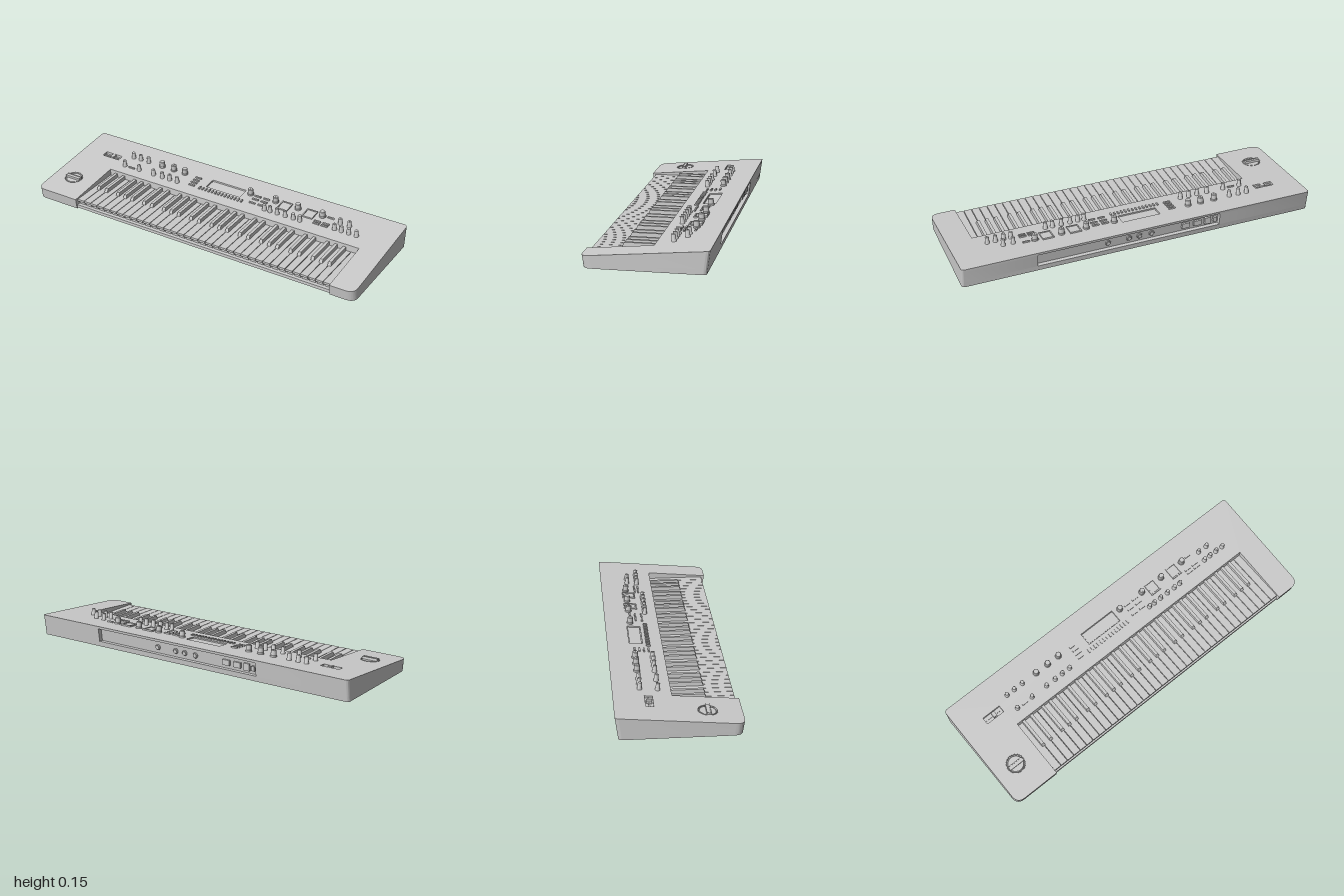
import * as THREE from 'three';
import { toCreasedNormals } from 'three/addons/utils/BufferGeometryUtils.js';

const material = new THREE.MeshStandardMaterial({ color: 0xcccccc });
const SLOPE = 0.0906;
const topY = (z) => 0.062 + (0.32 - z) * SLOPE; // sloping control surface
const KEY_L = -0.735, KEY_R = 0.86, KEY_BACK = -0.02;

function add(parent, name, geometry, x = 0, y = 0, z = 0) {
  const mesh = new THREE.Mesh(geometry, material);
  mesh.name = name;
  mesh.position.set(x, y, z);
  parent.add(mesh);
  return mesh;
}
const box = (w, h, d) => new THREE.BoxGeometry(w, h, d);

// Plan outline of the case, open at the front for the keys (shape y = -z)
function outline(rearRecess) {
  const s = new THREE.Shape();
  s.moveTo(-0.95, -0.32);
  s.lineTo(KEY_L, -0.32);
  s.lineTo(KEY_L, -KEY_BACK);
  s.lineTo(KEY_R, -KEY_BACK);
  s.lineTo(KEY_R, -0.32);
  s.lineTo(0.95, -0.32);
  s.quadraticCurveTo(1, -0.32, 1, -0.27);
  s.lineTo(1, 0.3);
  s.quadraticCurveTo(1, 0.32, 0.98, 0.32);
  if (rearRecess) {
    s.lineTo(0.59, 0.32);
    s.lineTo(0.59, 0.295);
    s.lineTo(-0.455, 0.295);
    s.lineTo(-0.455, 0.32);
  }
  s.lineTo(-0.98, 0.32);
  s.quadraticCurveTo(-1, 0.32, -1, 0.3);
  s.lineTo(-1, -0.27);
  s.quadraticCurveTo(-1, -0.32, -0.95, -0.32);
  return s;
}

function rectHole(x0, x1, z0, z1) {
  return new THREE.Path([[x0, -z0], [x0, -z1], [x1, -z1], [x1, -z0]].map(([x, y]) => new THREE.Vector2(x, y)));
}

// One layer of the case between height fractions t0 and t1
function caseLayer(shape, t0, t1) {
  const g = new THREE.ExtrudeGeometry(shape, { depth: 1, bevelEnabled: false, curveSegments: 12 });
  const p = g.attributes.position;
  for (let i = 0; i < p.count; i++) {
    const t = t0 + (t1 - t0) * p.getZ(i);
    const z = -p.getY(i);
    const taper = z < 0 ? 0.05 : 0.03;
    p.setXYZ(i, p.getX(i), t * topY(z), z * (1 - taper * (1 - t)));
  }
  return toCreasedNormals(g, 0.6);
}

function buildCase(root) {
  const body = new THREE.Group();
  body.name = 'case';
  root.add(body);
  const lid = outline(false);
  lid.holes.push(rectHole(-0.86, -0.75, -0.16, -0.12)); // slider slot
  lid.holes.push(rectHole(-0.15, 0.07, -0.2, -0.127)); // display window
  lid.holes.push(new THREE.Path().absarc(-0.875, -0.145, 0.05, 0, Math.PI * 2, true));
  add(body, 'caseBottom', caseLayer(outline(false), 0, 0.25));
  add(body, 'caseMiddle', caseLayer(outline(true), 0.25, 0.88));
  add(body, 'caseTop', caseLayer(lid, 0.88, 1));
  // Tray under the keys
  add(body, 'keyTray', box(KEY_R - KEY_L, 0.018, 0.33), (KEY_L + KEY_R) / 2, 0.013, 0.14);
}

function buildKeys(root) {
  const keys = new THREE.Group();
  keys.name = 'keys';
  root.add(keys);
  const count = 36, pitch = (KEY_R - KEY_L) / count;
  const white = box(pitch - 0.003, 0.012, 0.32);
  const lip = box(pitch - 0.009, 0.022, 0.304);
  // Black key: block with a sloped front and narrower top
  const black = box(0.022, 0.03, 0.18);
  const p = black.attributes.position;
  for (let i = 0; i < p.count; i++) {
    if (p.getY(i) > 0) {
      p.setX(i, p.getX(i) * 0.75);
      if (p.getZ(i) > 0) p.setZ(i, 0.078);
    }
  }
  black.computeVertexNormals();
  const offsets = { 0: -0.004, 1: 0.004, 3: -0.005, 4: 0, 5: 0.005 };
  for (let i = 0; i < count; i++) {
    const x = KEY_L + pitch * (i + 0.5);
    add(keys, 'whiteKey', white, x, 0.05, 0.141);
    add(keys, 'whiteKeyBase', lip, x, 0.033, 0.133);
    if (i % 7 in offsets && i < count - 1) {
      add(keys, 'blackKey', black, x + pitch / 2 + offsets[i % 7], 0.062, 0.071);
    }
  }
}

function buildPanel(root) {
  const panel = new THREE.Group();
  panel.name = 'controlPanel';
  root.add(panel);
  const tilt = Math.atan(SLOPE);
  // Sets a part on the sloping surface, its centre lifted by h
  const place = (name, g, x, z, h) => {
    const m = add(panel, name, g, x, topY(z) + h, z + h * SLOPE);
    m.rotation.x = tilt;
    return m;
  };

  // Knobs: tall caps with a short skirt
  const profile = (r) => toCreasedNormals(new THREE.LatheGeometry(
    [[r * 1.12, -0.003], [r * 1.1, 0.008], [r, 0.01], [r * 0.93, 0.035], [r * 0.82, 0.037], [0, 0.037]]
      .map(([a, b]) => new THREE.Vector2(a, b)), 18), 0.6);
  const small = profile(0.0115), large = profile(0.016);
  const pointer = box(0.003, 0.003, 0.014);
  const knobs = (g, z, xs) => xs.forEach((x) => {
    place('knob', g, x, z, 0);
    place('knobPointer', pointer, x, z + 0.004, 0.037);
  });
  knobs(small, -0.18, [-0.68, -0.63, -0.575]);
  knobs(large, -0.18, [-0.48, -0.4, -0.325, 0.11, 0.27, 0.41, 0.56]);
  knobs(small, -0.165, [0.675, 0.73]);
  knobs(small, -0.088, [-0.68, -0.58, -0.48, -0.42, -0.37, -0.32, 0.25, 0.285, 0.33, 0.38, 0.43, 0.47]);
  knobs(small, -0.108, [0.67, 0.71, 0.755, 0.8]);

  // Display sunk in its window
  place('displayGlass', box(0.214, 0.004, 0.066), -0.04, -0.163, -0.008);

  // Square pads with raised frames
  for (const x of [0.335, 0.49]) {
    place('pad', box(0.05, 0.006, 0.056), x, -0.165, 0.002);
    for (const s of [-1, 1]) {
      place('padFrame', box(0.006, 0.01, 0.07), x + s * 0.029, -0.165, 0.003);
      place('padFrame', box(0.064, 0.01, 0.006), x, -0.165 + s * 0.033, 0.003);
    }
  }

  // Rows of small buttons
  const wide = box(0.038, 0.009, 0.009), thin = box(0.008, 0.009, 0.022);
  for (const z of [-0.175, -0.15, -0.125, -0.1]) place('button', wide, -0.23, z, 0.003);
  for (let i = 0; i < 14; i++) place('button', thin, -0.175 + i * 0.021, -0.098, 0.003);
  for (const x of [0.16, 0.215]) {
    for (const z of [-0.175, -0.145, -0.11]) place('button', wide, x, z, 0.003);
  }
  for (const x of [0.56, 0.61]) {
    for (const z of [-0.185, -0.125, -0.105]) place('button', wide, x, z, 0.003);
  }
  place('button', wide, -0.63, -0.085, 0.003);

  // Slider in the slot
  place('slider', box(0.02, 0.018, 0.03), -0.8, -0.14, -0.005);
  place('sliderRail', box(0.1, 0.006, 0.008), -0.805, -0.14, -0.01);

  // Pitch wheel: sunken dish with an upright grip
  const rim = place('wheelRim', new THREE.TorusGeometry(0.05, 0.002, 6, 36), -0.875, 0.145, 0);
  rim.rotation.x = tilt + Math.PI / 2;
  place('wheelDisc', new THREE.CylinderGeometry(0.042, 0.045, 0.007, 32), -0.875, 0.145, -0.005);
  place('wheelGrip', box(0.09, 0.014, 0.022), -0.875, 0.147, 0.003);
  for (const s of [-1, 1]) place('gripRidge', box(0.09, 0.005, 0.005), -0.875, 0.147 + s * 0.0095, 0.01);
}

function buildRear(root) {
  const rear = new THREE.Group();
  rear.name = 'rearSockets';
  root.add(rear);
  const ring = new THREE.TorusGeometry(0.012, 0.004, 8, 20);
  const plug = new THREE.CylinderGeometry(0.009, 0.009, 0.014, 18);
  for (const x of [0.19, 0.07, 0.01, -0.06]) {
    add(rear, 'socketRing', ring, x, 0.065, -0.294);
    add(rear, 'socket', plug, x, 0.065, -0.293).rotation.x = Math.PI / 2;
  }
  for (const x of [-0.26, -0.33]) add(rear, 'port', box(0.045, 0.03, 0.016), x, 0.065, -0.293);
  add(rear, 'powerInlet', box(0.035, 0.04, 0.016), -0.39, 0.065, -0.293);
  add(rear, 'powerSwitch', box(0.018, 0.026, 0.02), -0.432, 0.065, -0.294);
}

export function createModel() {
  const root = new THREE.Group();
  root.name = 'keyboard';
  buildCase(root);
  buildKeys(root);
  buildPanel(root);
  buildRear(root);
  return root;
}
